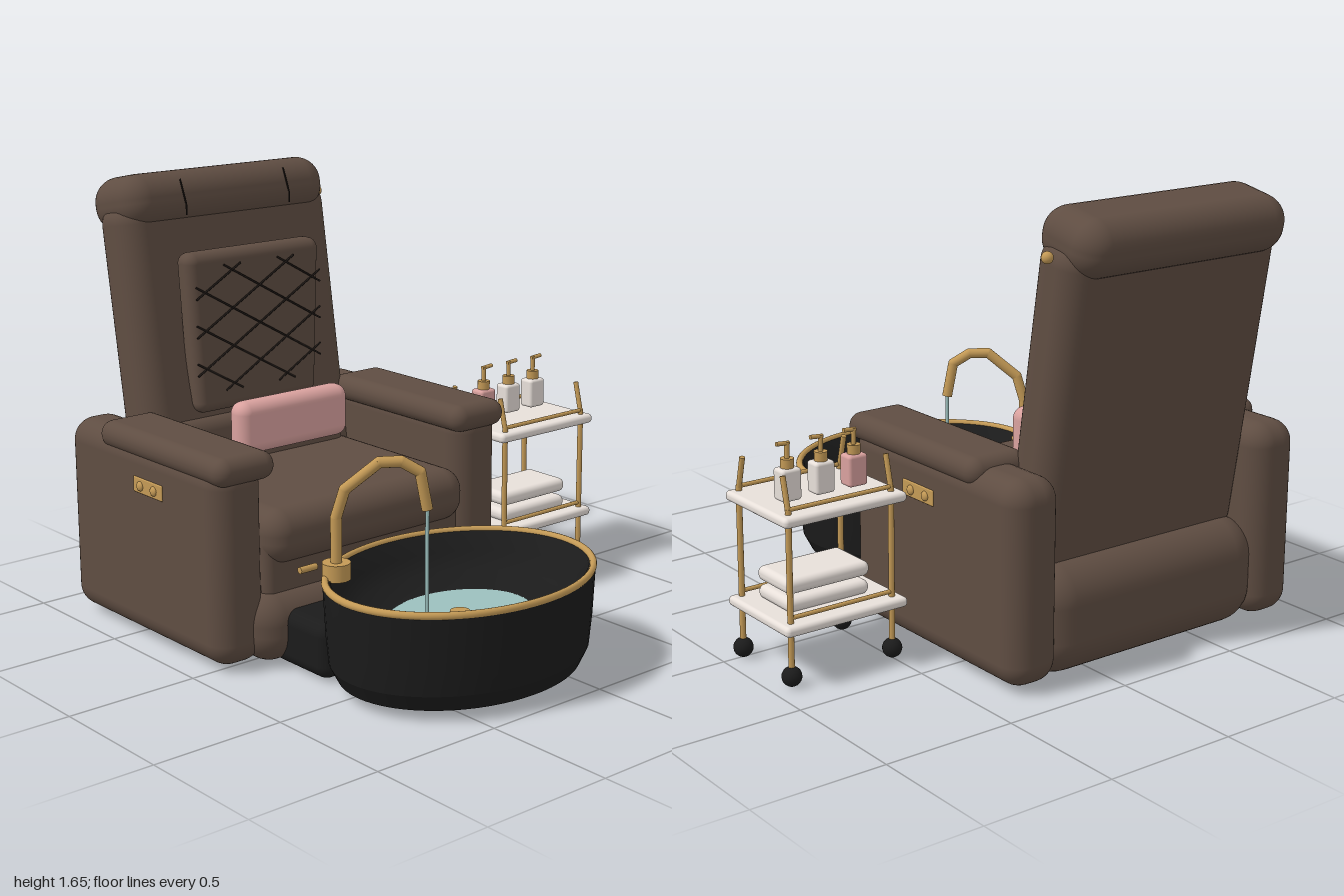
import * as THREE from 'three';
import { RoundedBoxGeometry } from 'three/addons/geometries/RoundedBoxGeometry.js';

const V = (x, y, z) => new THREE.Vector3(x, y, z);
const CX = -0.27; // centre line of chair and basin

export function createModel() {
  const model = new THREE.Group();
  model.name = 'pedicureStation';
  const mat = (name, color, side = THREE.FrontSide) => {
    const m = new THREE.MeshStandardMaterial({ color, side });
    m.name = name;
    return m;
  };
  const leather = mat('brownLeather', 0x5f4d42);
  const black = mat('blackEnamel', 0x1b1b1b, THREE.DoubleSide);
  const gold = mat('brass', 0xc49a56);
  const pink = mat('pink', 0xd9a19e);
  const cream = mat('cream', 0xe8e0da);
  const water = mat('water', 0x9cc0be, THREE.DoubleSide);
  const thread = mat('darkThread', 0x211b18);

  const add = (name, geo, material, parent = model) => {
    const m = new THREE.Mesh(geo, material);
    m.name = name;
    parent.add(m);
    return m;
  };
  const group = (name) => {
    const g = new THREE.Group();
    g.name = name;
    model.add(g);
    return g;
  };
  // Rounded box given by its extents on each axis
  const soft = (name, [x0, x1], [y0, y1], [z0, z1], r, material, parent, tilt = 0) => {
    const m = add(name, new RoundedBoxGeometry(x1 - x0, y1 - y0, z1 - z0, 5, r), material, parent);
    m.position.set((x0 + x1) / 2, (y0 + y1) / 2, (z0 + z1) / 2);
    m.rotation.x = tilt;
    return m;
  };
  // Straight round bar between two points
  const bar = (name, a, b, r, material, parent, sides = 12) => {
    const m = add(name, new THREE.CylinderGeometry(r, r, a.distanceTo(b), sides), material, parent);
    m.position.copy(a).add(b).multiplyScalar(0.5);
    m.quaternion.setFromUnitVectors(V(0, 1, 0), b.clone().sub(a).normalize());
    return m;
  };
  const ball = (name, p, r, material, parent) => {
    const m = add(name, new THREE.SphereGeometry(r, 20, 14), material, parent);
    m.position.copy(p);
    return m;
  };

  // Chair body
  const chair = group('chair');
  soft('base', [-0.79, 0.25], [0, 0.41], [-0.875, 0.07], 0.14, leather, chair);
  soft('frontSkirt', [-0.805, 0.265], [0.01, 0.27], [-0.12, 0.15], 0.11, leather, chair);
  soft('seatCore', [-0.73, 0.19], [0.2, 0.5], [-0.62, 0.08], 0.04, leather, chair);
  soft('seatCushion', [-0.73, 0.195], [0.36, 0.56], [-0.68, 0.125], 0.085, leather, chair);

  // Arms, mirrored about the chair centre line
  for (const s of [-1, 1]) {
    const span = (a, b) => [CX + s * a, CX + s * b].sort((p, q) => p - q);
    soft('armPanel', span(0.45, 0.665), [0.02, 0.76], [-0.885, 0.085], 0.085, leather, chair);
    soft('armPad', span(0.42, 0.672), [0.69, 0.792], [-0.66, 0.11], 0.05, leather, chair);
    soft('controlPlate', span(0.655, 0.67), [0.572, 0.63], [-0.43, -0.25], 0.004, gold, chair);
    for (const z of [-0.385, -0.3])
      ball('controlButton', V(CX + s * 0.67, 0.6, z), 0.018, gold, chair).scale.x = 0.6;
  }

  // Reclined back with lower support and headrest
  const back = soft('backrest', [-0.752, 0.207], [0.33, 1.56], [-0.84, -0.615], 0.09, leather, chair, -0.155);
  back.position.z = -0.738;
  soft('lowerBack', [-0.7, 0.14], [0.44, 0.74], [-0.71, -0.54], 0.06, leather, chair, -0.155);
  soft('headrest', [-0.74, 0.19], [1.433, 1.64], [-0.995, -0.69], 0.095, leather, chair, -0.2);
  for (const x of [-0.51, -0.03]) {
    bar('headrestStrap', V(x, 1.5, -0.668), V(x, 1.54, -0.668), 0.003, thread, chair, 6);
    bar('headrestStrap', V(x, 1.54, -0.668), V(x, 1.63, -0.705), 0.003, thread, chair, 6);
  }
  ball('reclineKnob', V(0.24, 1.5, -0.84), 0.021, gold, chair);

  // Back pad, narrowing towards the bottom
  const pad = soft('backPad', [-0.582, 0.033], [0.76, 1.37], [-0.655, -0.552], 0.04, leather, chair, -0.015);
  const pp = pad.geometry.attributes.position;
  for (let i = 0; i < pp.count; i++)
    pp.setX(i, pp.getX(i) * (1 - 0.1 * Math.max(0, 0.1 - pp.getY(i)) / 0.4));

  // Diamond stitching clipped to the pad
  const [xa, xb, ya, yb, slope] = [-0.56, 0.02, 0.84, 1.32, 0.58];
  for (const s of [-1, 1]) {
    for (let k = -5; k <= 5; k++) {
      const c = 1.08 + k * 0.145;
      const xs = [ya, yb].map((y) => CX + (y - c) / (s * slope)).sort((p, q) => p - q);
      const x0 = Math.max(xa, xs[0]);
      const x1 = Math.min(xb, xs[1]);
      if (x1 - x0 < 0.04) continue;
      const at = (x) => V(x, c + s * slope * (x - CX), -0.548);
      bar('stitch', at(x0), at(x1), 0.0038, thread, chair, 6);
    }
  }
  soft('lumbarPillow', [-0.53, -0.02], [0.64, 0.84], [-0.42, -0.318], 0.045, pink, chair);

  // Foot basin: oval bowl on a plinth that joins the chair
  const basin = group('footBasin');
  soft('plinth', [-0.695, 0.148], [0.005, 0.212], [0.04, 0.355], 0.05, black, basin);
  const oval = (name, geo, material, y = 0) => {
    const m = add(name, geo, material, basin);
    m.position.set(CX, y, 0.584);
    m.scale.z = 0.79;
    return m;
  };
  const lathe = (pts) => new THREE.LatheGeometry(pts.map(([r, y]) => new THREE.Vector2(r, y)), 64);
  oval('bowlUnderside', lathe([[0.08, 0.2], [0.28, 0.17], [0.38, 0.04], [0.468, 0.04]]), black);
  oval('bowlFoot', lathe([[0.468, 0.04], [0.5, 0.1]]), black);
  oval('bowlOuter', lathe([[0.5, 0.1], [0.51, 0.2], [0.52, 0.385]]), black);
  oval('bowlInner', lathe([[0.52, 0.385], [0.49, 0.385], [0.46, 0.32], [0.4, 0.265], [0.28, 0.222], [0.08, 0.205]]), black);
  oval('rim', new THREE.TorusGeometry(0.51, 0.014, 12, 80).rotateX(Math.PI / 2), gold, 0.386);
  oval('waterSurface', new THREE.CircleGeometry(0.282, 48).rotateX(-Math.PI / 2), water, 0.226);
  const drain = add('drain', new THREE.CylinderGeometry(0.036, 0.036, 0.012, 24), gold, basin);
  drain.position.set(CX, 0.23, 0.582);

  // Faucet arching over the bowl
  const faucet = group('faucet');
  bar('faucetBase', V(-0.64, 0.38, 0.357), V(-0.64, 0.44, 0.357), 0.05, gold, faucet, 24);
  const path = [V(-0.64, 0.42, 0.357), V(-0.64, 0.6, 0.357), V(-0.62, 0.7, 0.38), V(-0.53, 0.795, 0.455),
    V(-0.465, 0.795, 0.495), V(-0.41, 0.755, 0.53), V(-0.387, 0.62, 0.54)];
  path.slice(1).forEach((p, i) => {
    bar('spout', path[i], p, 0.02, gold, faucet, 16);
    if (i < path.length - 2) ball('spoutJoint', p, 0.02, gold, faucet);
  });
  bar('waterStream', V(-0.387, 0.226, 0.54), V(-0.387, 0.62, 0.54), 0.007, water, faucet);
  bar('faucetLever', V(-0.795, 0.443, 0.352), V(-0.725, 0.443, 0.352), 0.012, gold, faucet);

  // Trolley frame
  const trolley = group('trolley');
  for (const y of [0.195, 0.585])
    soft('shelf', [0.456, 0.958], [y, y + 0.037], [-0.365, 0.033], 0.016, cream, trolley);
  for (const [z, zTop] of [[0, -0.03], [-0.32, -0.29]]) {
    for (const x of [0.498, 0.918]) {
      bar('post', V(x, 0.05, z), V(x, 0.64, z), 0.011, gold, trolley);
      bar('postTip', V(x, 0.63, z), V(x, 0.75, zTop), 0.01, gold, trolley);
      ball('caster', V(x, 0.037, z), 0.036, black, trolley);
    }
    for (const y of [0.25, 0.638])
      bar('rail', V(0.498, y, z), V(0.918, y, z), 0.008, gold, trolley);
  }

  // Towels and pump bottles
  soft('towel', [0.54, 0.88], [0.228, 0.28], [-0.25, -0.04], 0.024, cream, trolley);
  soft('towel', [0.537, 0.882], [0.295, 0.35], [-0.25, -0.04], 0.024, cream, trolley);
  [[0.574, pink], [0.71, cream], [0.846, cream]].forEach(([x, m]) => {
    const z = -0.205;
    soft('bottle', [x - 0.039, x + 0.039], [0.63, 0.745], [z - 0.033, z + 0.033], 0.012, m, trolley);
    bar('pumpCollar', V(x, 0.74, z), V(x, 0.778, z), 0.024, gold, trolley, 16);
    bar('pumpStem', V(x, 0.77, z), V(x, 0.835, z), 0.009, gold, trolley);
    bar('pumpNozzle', V(x - 0.008, 0.83, z), V(x + 0.042, 0.834, z), 0.008, gold, trolley);
  });
  return model;
}
